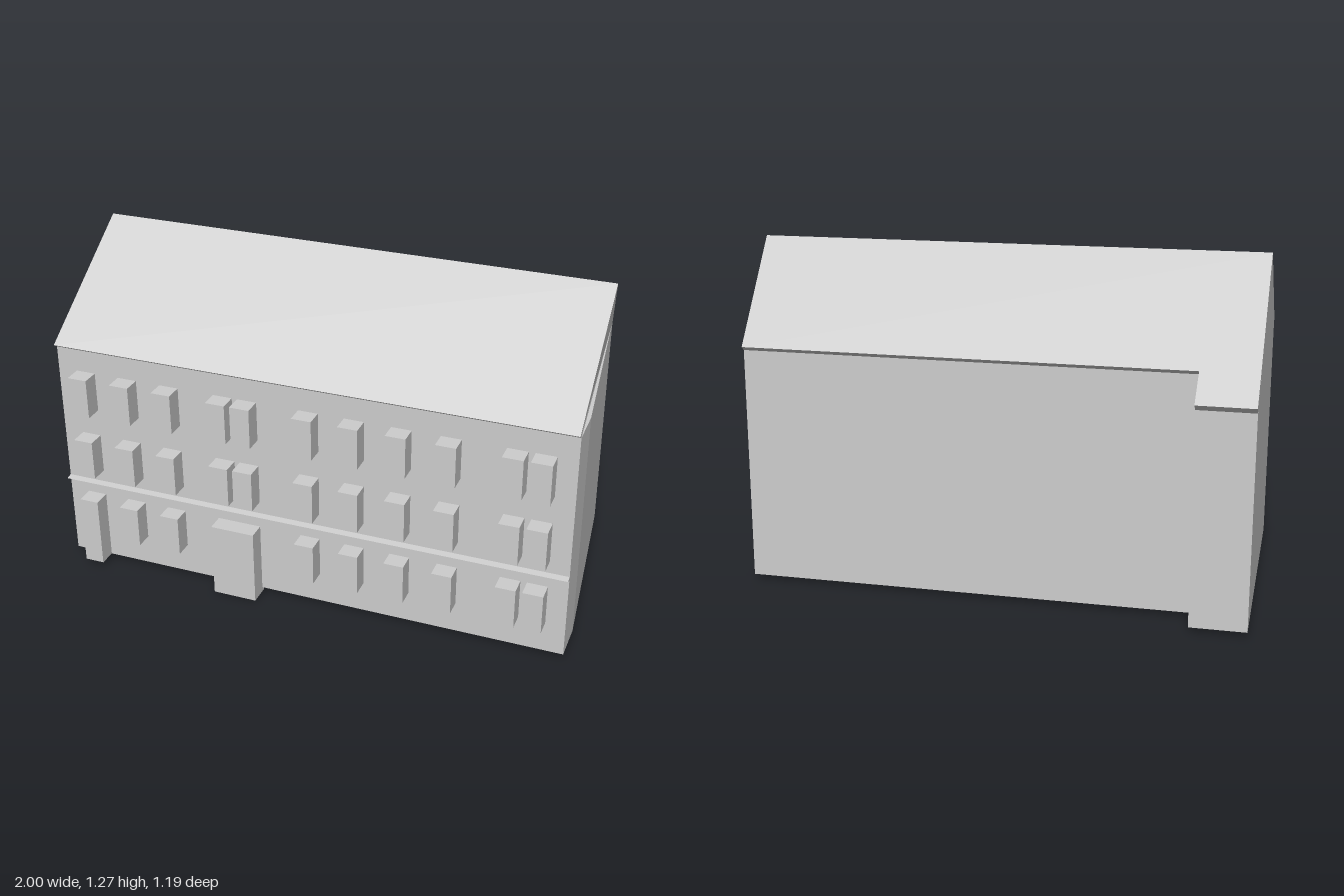
import * as THREE from 'three';

export function createModel() {
  const model = new THREE.Group();
  model.name = 'terraceBuilding';
  const plaster = new THREE.MeshStandardMaterial({ color: 0xcccccc });
  plaster.name = 'paleGrey';

  const add = (geometry, name, parent = model) => {
    const mesh = new THREE.Mesh(geometry, plaster);
    mesh.name = name;
    parent.add(mesh);
    return mesh;
  };

  // Prism along x from a [z, y] profile; an optional rule bends its right end
  const prism = (profile, x0, x1, endRule) => {
    const shape = new THREE.Shape(profile.map(([z, y]) => new THREE.Vector2(-z, y)));
    const g = new THREE.ExtrudeGeometry(shape, { depth: x1 - x0, bevelEnabled: false });
    g.rotateY(Math.PI / 2).translate(x0, 0, 0);
    if (endRule) {
      const p = g.attributes.position;
      for (let i = 0; i < p.count; i++) {
        if (p.getX(i) > x1 - 0.001) p.setX(i, endRule(p.getZ(i)));
      }
      g.computeVertexNormals();
    }
    return g;
  };

  const base = 0.018, frontZ = 0.53;

  // Main walls, with the right end angled in towards the back
  const plan = [[-1, frontZ], [1, frontZ], [1, 0.38], [0.91, -0.43], [-1, -0.43]];
  const walls = new THREE.ExtrudeGeometry(
    new THREE.Shape(plan.map(([x, z]) => new THREE.Vector2(x, -z))),
    { depth: 0.914 - base, bevelEnabled: false });
  walls.rotateX(-Math.PI / 2).translate(0, base, 0);
  add(walls, 'mainWalls');

  // Small wing at the back
  add(prism([[-0.43, base], [-0.56, base], [-0.56, 0.82], [-0.43, 0.913]], -1, -0.79), 'rearWing');

  // Pitched roof with sloping soffits; its right gable leans out at the ridge
  const gableX = (z) => (z > 0.045
    ? 0.995 + 0.005 * Math.min(1, (z - 0.045) / 0.485)
    : 0.995 - 0.09 * (0.045 - z) / 0.505);
  add(prism([[frontZ, 0.914], [0.55, 0.928], [0.045, 1.275], [-0.46, 0.932], [-0.43, 0.914]],
    -1, 1, gableX), 'roof');
  add(prism([[-0.43, 0.914], [-0.46, 0.932], [-0.595, 0.845], [-0.56, 0.82]],
    -1, -0.788), 'rearWingRoof');

  // String course above the ground floor
  add(prism([[frontZ, 0.338], [0.556, 0.352], [frontZ, 0.356]], -1, 1), 'stringCourse');

  // Projecting windows and doors
  const openings = new THREE.Group();
  openings.name = 'openings';
  model.add(openings);
  const bay = (name, x, w, y0, y1, back = frontZ) => {
    const m = add(new THREE.BoxGeometry(w, y1 - y0, 0.598 - back), name, openings);
    m.position.set(x, (y0 + y1) / 2, (0.598 + back) / 2);
  };
  const columns = [-0.885, -0.711, -0.538, -0.319, -0.222, 0.018, 0.193, 0.37, 0.552, 0.788, 0.888];
  const doorColumns = [0, 3, 4];
  [0.14, 0.405, 0.67].forEach((y, floor) => {
    columns.forEach((x, i) => {
      if (floor === 0 && doorColumns.includes(i)) return;
      bay('window', x, 0.076, y, y + 0.156);
    });
  });
  bay('sideDoor', columns[0], 0.076, base, 0.296);
  bay('mainDoor', -0.272, 0.172, 0, 0.296, 0.515);

  return model;
}
